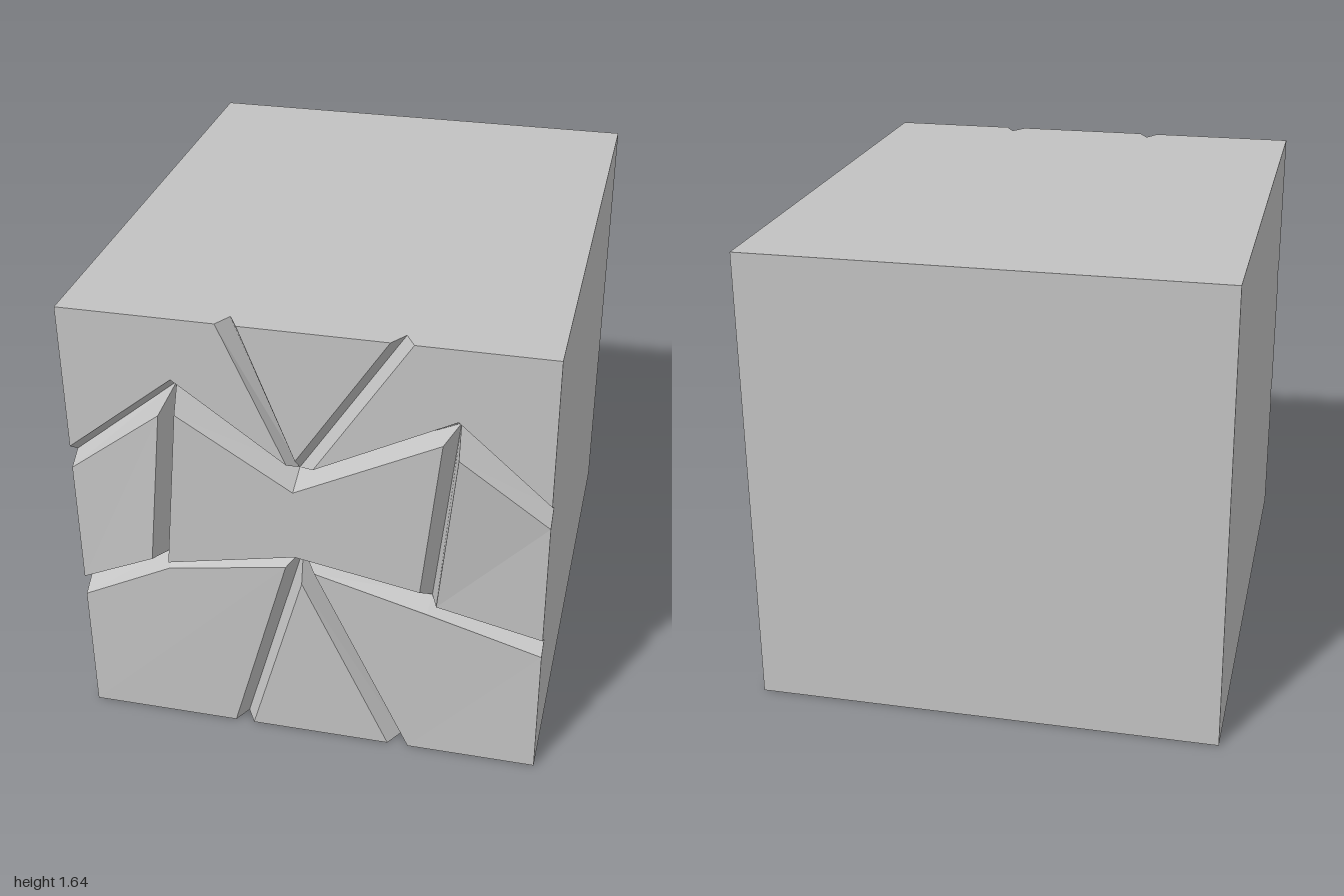
import * as THREE from 'three';

const W = 0.815, H = 1.637, F = 0.93, B = -1, FLOOR = 0.87;

// Groove floor nodes [x, y]: upper chain c, lower chain d, top ends u, bottom ends v
const floor = {
  c0: [-W, 1.065], c1: [-0.44, 1.375], c2: [-0.03, 1.1], c3: [0.505, 1.342], c4: [W, 1.065],
  d0: [-W, 0.53], d1: [-0.505, 0.69], d2: [-0.025, 0.767], d3: [0.426, 0.649], d4: [W, 0.527],
  u1: [-0.245, H], u2: [0.325, H], v1: [-0.247, 0], v2: [0.323, 0],
};

// Raised panels: corners [x, y, z, floor node below]; crease joins two corners
const panels = [
  { name: 'upperRightPanel', corners: [[-W, H, F], [-0.28, H, F, 'u1'], [-0.06, 1.14, F, 'c2'],
    [-0.44, 1.415, F, 'c1'], [-W, 1.11, F, 'c0']] },
  { name: 'upperMiddlePanel', corners: [[-0.21, H, F, 'u1'], [0.285, H, F, 'u2'], [-0.03, 1.16, F, 'c2']] },
  { name: 'upperLeftPanel', corners: [[W, H, F], [0.36, H, F, 'u2'], [0.03, 1.135, F, 'c2'],
    [0.505, 1.38, F, 'c3'], [W, 1.105, F, 'c4']] },
  { name: 'middleRightPanel', crease: [1, 3], corners: [[-W, 1.025, F, 'c0'], [-0.478, 1.295, 0.965, 'c1'],
    [-0.54, 0.71, 0.965, 'd1'], [-W, 0.565, F, 'd0']] },
  { name: 'centerPanel', crease: [1, 4], corners: [[-0.413, 1.32, 0.99, 'c1'], [-0.03, 1.06, 0.967, 'c2'],
    [0.46, 1.295, 0.945, 'c3'], [0.395, 0.706, 0.945, 'd3'], [-0.03, 0.8, 0.967, 'd2'], [-0.47, 0.728, 0.995, 'd1']] },
  { name: 'middleLeftPanel', crease: [1, 3], corners: [[0.52, 1.28, 0.997, 'c3'], [W, 1.02, F, 'c4'],
    [W, 0.562, F, 'd4'], [0.456, 0.671, 0.965, 'd3']] },
  { name: 'lowerRightPanel', corners: [[-W, 0, F], [-0.28, 0, F, 'v1'], [-0.07, 0.732, 0.94, 'd2'],
    [-0.49, 0.658, 0.937, 'd1'], [-W, 0.488, F, 'd0']] },
  { name: 'lowerMiddlePanel', corners: [[-0.212, 0, F, 'v1'], [0.286, 0, F, 'v2'], [-0.015, 0.67, 0.94, 'd2']] },
  { name: 'lowerLeftPanel', corners: [[W, 0, F], [0.36, 0, F, 'v2'], [0.03, 0.72, 0.94, 'd2'],
    [0.42, 0.612, 0.937, 'd3'], [W, 0.492, F, 'd4']] },
];

// Triangulates a polygon seen along an axis and turns it towards sign * axis
function addFace(out, points, axis, sign) {
  const [i, j] = [0, 1, 2].filter((k) => k !== axis);
  const flat = points.map((p) => new THREE.Vector2(p[i], p[j]));
  for (const tri of THREE.ShapeUtils.triangulateShape(flat, [])) {
    const [a, b, c] = tri.map((k) => new THREE.Vector3(...points[k].slice(0, 3)));
    const n = b.clone().sub(a).cross(c.clone().sub(a));
    const order = n.getComponent(axis) * sign > 0 ? [a, b, c] : [a, c, b];
    for (const v of order) out.push(v.x, v.y, v.z);
  }
}

function makeMesh(positions, material, name) {
  const geometry = new THREE.BufferGeometry();
  geometry.setAttribute('position', new THREE.Float32BufferAttribute(positions, 3));
  geometry.computeVertexNormals();
  const mesh = new THREE.Mesh(geometry, material);
  mesh.name = name;
  return mesh;
}

const node = (key) => [...floor[key], FLOOR];
// True when two corners lie on the same outer edge of the block
const sameRim = (a, b) =>
  (a[0] === b[0] && Math.abs(a[0]) === W) || (a[1] === b[1] && (a[1] === 0 || a[1] === H));

export function createModel() {
  const group = new THREE.Group();
  group.name = 'crackedStoneBlock';
  const stone = new THREE.MeshStandardMaterial({ color: 0xc2c2c2 });
  stone.name = 'greyStone';

  // Panels of the carved front with their sloping groove banks
  for (const { name, corners, crease } of panels) {
    const face = [], banks = [];
    if (crease) {
      const [s, e] = crease;
      addFace(face, corners.slice(s, e + 1), 2, 1);
      addFace(face, [...corners.slice(e), ...corners.slice(0, s + 1)], 2, 1);
    } else addFace(face, corners, 2, 1);
    corners.forEach((a, k) => {
      const b = corners[(k + 1) % corners.length];
      if (!a[3] || !b[3] || sameRim(a, b)) return;
      addFace(banks, [a, b, node(b[3]), node(a[3])], 2, 1);
    });
    group.add(makeMesh(face, stone, name), makeMesh(banks, stone, name + 'GrooveBanks'));
  }

  // Block body: back plus four walls notched where the grooves run out
  const body = [];
  addFace(body, [[-W, 0, B], [W, 0, B], [W, H, B], [-W, H, B]], 2, -1);
  const wall = (axis, value, along, from, to, sign, notches) => {
    const point = (t, z) => {
      const p = [0, 0, z];
      p[axis] = value;
      p[along] = t;
      return p;
    };
    const outline = [point(to, B), point(from, B), point(from, F)];
    for (const [a, mid, b] of notches) outline.push(point(a, F), point(mid, FLOOR), point(b, F));
    outline.push(point(to, F));
    addFace(body, outline, axis, sign);
  };
  wall(0, -W, 1, 0, H, -1, [[0.488, 0.53, 0.565], [1.025, 1.065, 1.11]]);
  wall(0, W, 1, 0, H, 1, [[0.492, 0.527, 0.562], [1.02, 1.065, 1.105]]);
  wall(1, H, 0, -W, W, 1, [[-0.28, -0.245, -0.21], [0.285, 0.325, 0.36]]);
  wall(1, 0, 0, -W, W, -1, [[-0.28, -0.247, -0.212], [0.286, 0.323, 0.36]]);
  group.add(makeMesh(body, stone, 'blockBody'));

  return group;
}
